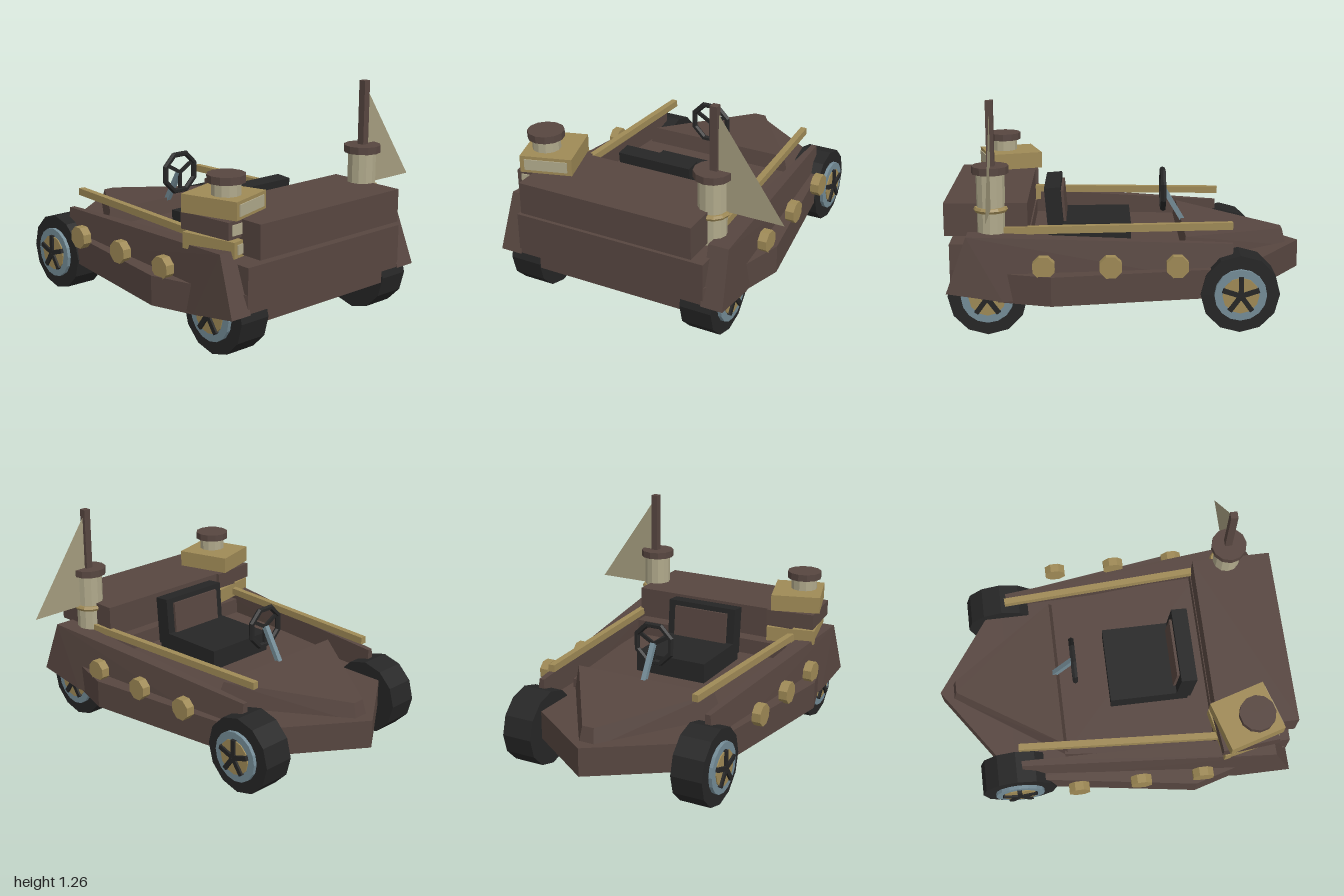
import * as THREE from 'three';
import { ConvexGeometry } from 'three/addons/geometries/ConvexGeometry.js';

const CX = -0.09; // centre line of the body

function mat(name, color, side = THREE.FrontSide) {
  const m = new THREE.MeshStandardMaterial({ color, flatShading: true, side });
  m.name = name;
  return m;
}

export function createModel() {
  const wood = mat('brown wood', 0x574640);
  const gold = mat('golden wood', 0x9f8a56);
  const cream = mat('cream', 0xb0a98b);
  const cloth = mat('sail cloth', 0xa49c7e, THREE.DoubleSide);
  const black = mat('black rubber', 0x262626);
  const steel = mat('blue steel', 0x748c97);

  const model = new THREE.Group();
  model.name = 'boatKart';

  const add = (name, geo, material, x = 0, y = 0, z = 0, parent = model) => {
    const mesh = new THREE.Mesh(geo, material);
    mesh.name = name;
    mesh.position.set(x, y, z);
    parent.add(mesh);
    return mesh;
  };
  const box = (name, material, w, h, d, x, y, z, parent) =>
    add(name, new THREE.BoxGeometry(w, h, d), material, x, y, z, parent);
  const convex = (name, material, pts) =>
    add(name, new ConvexGeometry(pts.map((p) => new THREE.Vector3(...p))), material, CX);
  // beam with a square section between two points
  const beam = (name, material, a, b, w, h) => {
    const p = new THREE.Vector3(...a), q = new THREE.Vector3(...b);
    const m = box(name, material, w, h, p.distanceTo(q), 0, 0, 0);
    m.position.copy(p).add(q).multiplyScalar(0.5);
    m.lookAt(q);
    return m;
  };
  // slab with a mirrored outline of [half width, z] points
  const slab = (name, outline, y0, y1) => {
    const pts = [];
    for (const [x, z] of outline)
      for (const s of [-1, 1]) pts.push([s * x, y0, z], [s * x, y1, z]);
    return convex(name, wood, pts);
  };

  // Hull, cockpit floor and pointed foredeck
  slab('hull', [[0, -1], [0.57, -0.6], [0.72, 0.42], [0.56, 0.97]], 0.19, 0.35);
  slab('cockpitFloor', [[0.47, -0.31], [0.55, 0.6]], 0.34, 0.4);
  const deck = [];
  for (const s of [-1, 1])
    deck.push([s * 0.045, 0.33, -0.925], [s * 0.48, 0.33, -0.28],
      [s * 0.035, 0.43, -0.9], [s * 0.43, 0.49, -0.31]);
  convex('foredeck', wood, deck);

  // Stern deck and cargo box
  box('sternDeck', wood, 1.12, 0.24, 0.42, CX, 0.37, 0.76);
  box('cargoBox', wood, 1.02, 0.18, 0.45, CX, 0.615, 0.775);

  for (const s of [-1, 1]) {
    // Side panels, thicker towards the stern
    convex('sidePanel', wood, [
      [0.54, 0.555, 0.87], [0.655, 0.555, 0.87], [0.55, 0.25, 0.98], [0.675, 0.25, 0.98],
      [0.55, 0.2, 0.68], [0.665, 0.2, 0.68],
      [0.5, 0.475, -0.56], [0.53, 0.475, -0.56], [0.5, 0.25, -0.56], [0.555, 0.25, -0.56],
    ].map(([x, y, z]) => [s * x, y, z]));

    // Hand rails
    beam('handRail', gold, [CX + s * 0.443, 0.555, -0.565], [CX + s * 0.515, 0.555, 0.68], 0.036, 0.04);

    // Round bosses along the side
    for (const z of [0.46, 0.105, -0.25]) {
      const g = new THREE.CylinderGeometry(0.063, 0.063, 0.05, 8).rotateY(Math.PI / 8).rotateZ(Math.PI / 2);
      add('sideBoss', g, gold, CX + s * 0.675, 0.395, z);
    }

    // Wheels
    for (const z of [-0.595, 0.765]) {
      const wheel = new THREE.Group();
      wheel.name = z < 0 ? 'bowWheel' : 'sternWheel';
      wheel.position.set(CX + s * 0.52, 0.215, z);
      wheel.rotation.y = s * Math.PI / 2;
      model.add(wheel);
      const disc = (name, material, r, depth, zc, n) =>
        add(name, new THREE.CylinderGeometry(r, r, depth, n).rotateX(Math.PI / 2), material, 0, 0, zc, wheel);
      disc('tyre', black, 0.215, 0.18, 0, 12);
      disc('rim', steel, 0.142, 0.04, 0.09, 16);
      disc('hubDisc', gold, 0.1, 0.04, 0.096, 12);
      disc('hubCap', black, 0.025, 0.05, 0.102, 8);
      for (let i = 0; i < 5; i++) {
        const spoke = new THREE.BoxGeometry(0.026, 0.1, 0.04).translate(0, 0.053, 0).rotateZ(i * Math.PI * 0.4);
        add('spoke', spoke, black, 0, 0, 0.108, wheel);
      }
    }

    // Stern posts with caps
    const px = CX + s * 0.5;
    add('post', new THREE.CylinderGeometry(0.077, 0.077, 0.37, 12), cream, px, 0.695, 0.745);
    add('postCap', new THREE.CylinderGeometry(0.1, 0.1, 0.04, 12), wood, px, 0.89, 0.745);
  }
  add('postRing', new THREE.TorusGeometry(0.08, 0.016, 6, 12).rotateX(Math.PI / 2), gold, 0.41, 0.675, 0.745);

  // Mast and triangular flag
  box('mast', wood, 0.04, 0.36, 0.04, 0.42, 1.08, 0.74);
  const flag = new THREE.Shape([[0.44, 1.215], [0.44, 0.685], [0.805, 0.685]].map((p) => new THREE.Vector2(...p)));
  add('flag', new THREE.ShapeGeometry(flag), cloth, 0, 0, 0.74);

  // Stacked crates, each turned a little, with a pale plate on the stern face
  const crates = [
    ['lowerCrate', gold, 0.56, 0.085, 0.2, -0.56],
    ['middleCrate', wood, 0.66, 0.09, 0.1, -0.57],
    ['upperCrate', gold, 0.758, 0.095, 0.29, -0.57],
  ];
  for (const [name, material, y, h, turn, x] of crates) {
    const crate = new THREE.Group();
    crate.name = name;
    crate.position.set(x, y, 0.705);
    crate.rotation.y = turn;
    model.add(crate);
    box('crateBody', material, 0.285, h, 0.32, 0, 0, 0, crate);
    box('cratePlate', cream, 0.235, h - 0.035, 0.008, 0, 0, 0.162, crate);
  }

  // Seat
  box('seatCushion', black, 0.435, 0.13, 0.45, CX, 0.45, 0.21);
  const back = new THREE.Group();
  back.name = 'seatBack';
  back.position.set(CX, 0.58, 0.417);
  back.rotation.x = 0.08;
  model.add(back);
  box('backrest', black, 0.435, 0.28, 0.09, 0, 0, 0, back);
  box('backPad', wood, 0.34, 0.2, 0.02, 0, 0.01, -0.05, back);

  // Steering wheel and column
  const ring = new THREE.TorusGeometry(0.115, 0.017, 6, 8).rotateZ(Math.PI / 8);
  add('steeringWheel', ring, black, CX, 0.662, -0.205);
  for (let i = 0; i < 3; i++) {
    const bar = new THREE.BoxGeometry(0.02, 0.11, 0.014).translate(0, 0.055, 0).rotateZ(Math.PI / 3 + i * Math.PI * 2 / 3);
    add('steeringSpoke', bar, black, CX, 0.662, -0.205);
  }
  beam('steeringColumn', steel, [CX, 0.47, -0.325], [CX, 0.665, -0.21], 0.028, 0.028);

  return model;
}
